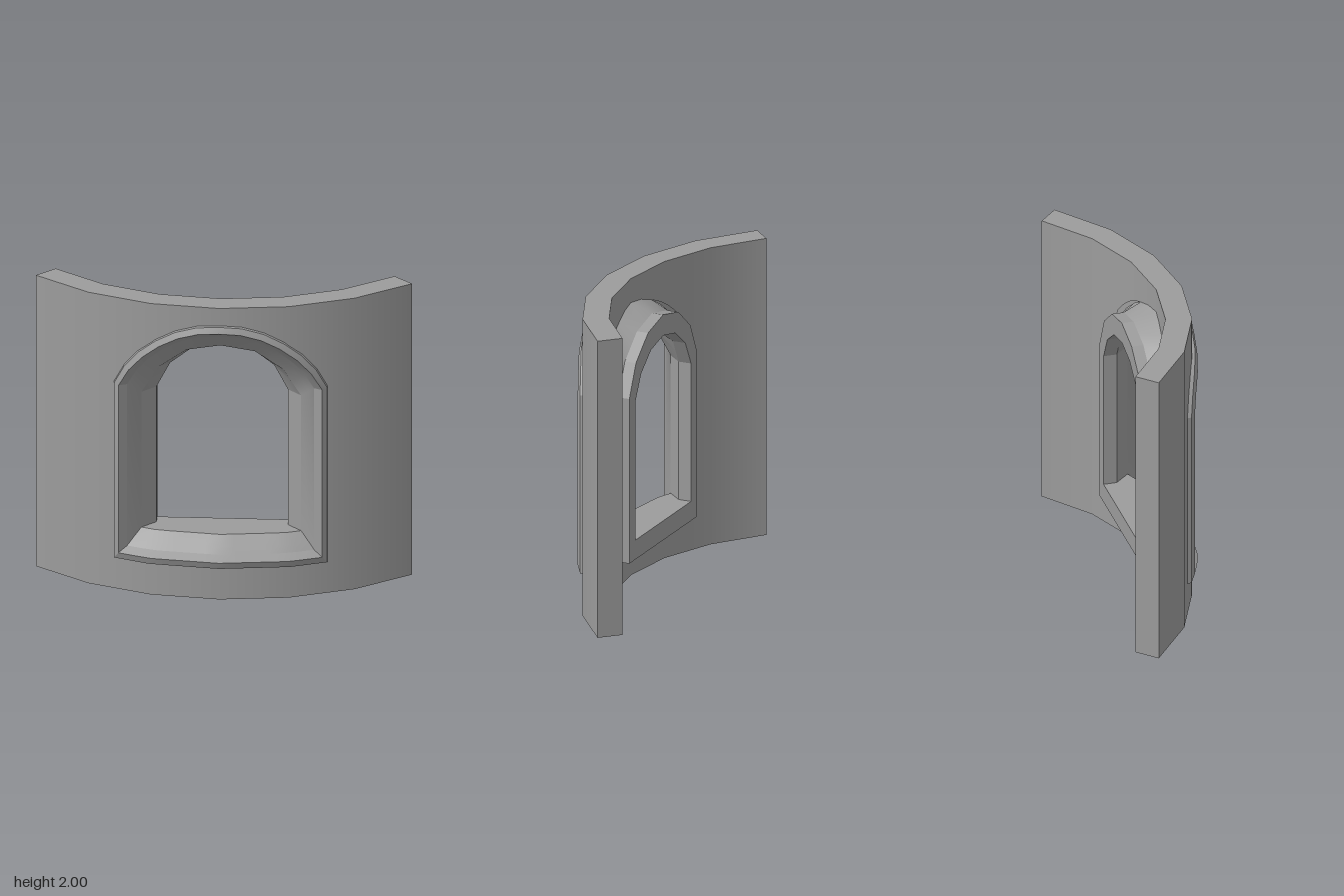
import * as THREE from 'three';
import { toCreasedNormals } from 'three/addons/utils/BufferGeometryUtils.js';

// Local frame: x along the window, z outward; the wall curves about (0, AXIS).
const AXIS = -1.202, STEP = Math.PI / 12, DEG = Math.PI / 180;
const R_OUT = 1.7, R_IN = 1.53;
const material = new THREE.MeshStandardMaterial({ color: 0x9c9c9c, side: THREE.DoubleSide });

// Point on the 15-degree faceted arc of radius r at angle a
function arcPoint(r, a) {
  const k = Math.min(2, Math.max(-3, Math.floor(a / STEP + 1e-6)));
  const t = a / STEP - k, a0 = k * STEP, a1 = a0 + STEP;
  return [
    r * THREE.MathUtils.lerp(Math.sin(a0), Math.sin(a1), t),
    AXIS + r * THREE.MathUtils.lerp(Math.cos(a0), Math.cos(a1), t),
  ];
}

// Depth of the faceted arc at a given x
function arcDepth(r, x) {
  const k = Math.floor(Math.asin(x / r) / STEP + 1e-6);
  const x0 = r * Math.sin(k * STEP), x1 = r * Math.sin((k + 1) * STEP);
  const z0 = r * Math.cos(k * STEP), z1 = r * Math.cos((k + 1) * STEP);
  return AXIS + z0 + (z1 - z0) * (x - x0) / (x1 - x0);
}

// Circular-segment arch of half width w between spring and apex heights
function arch(w, spring, apex) {
  const rise = apex - spring;
  const R = (w * w + rise * rise) / (2 * rise);
  return { R, cy: apex - R, half: Math.atan2(w, R - rise) };
}

// Closed arched outline; depth is { r } for a curved ring or { z } for a flat one.
// sides is the number of straight pieces in the arch, each split to 12 points in all.
function ring(w, bottom, spring, apex, depth, sides = 12) {
  const pts = [], { R, cy, half } = arch(w, spring, apex);
  const add = (x, y) => pts.push([x, y, depth.z ?? arcDepth(depth.r, x)]);
  const corner = k => {
    const a = half * (1 - 2 * k / sides);
    return new THREE.Vector2(R * Math.sin(a), cy + R * Math.cos(a));
  };
  for (let i = 0; i <= 12; i++) add(w * (i / 6 - 1), bottom);
  for (let i = 0; i <= 12; i++) {
    const s = i * sides / 12, k = Math.floor(s);
    const p = corner(k).lerp(corner(k + 1), s - k);
    add(p.x, p.y);
  }
  return pts;
}

// Skin between successive rings, smooth below the crease angle
function loft(name, rings, crease = 0.35) {
  const pos = [], n = rings[0].length;
  for (let k = 0; k < rings.length - 1; k++) {
    for (let i = 0; i < n; i++) {
      const j = (i + 1) % n;
      const a = rings[k][i], b = rings[k][j], c = rings[k + 1][j], d = rings[k + 1][i];
      pos.push(...a, ...b, ...c, ...a, ...c, ...d);
    }
  }
  const g = new THREE.BufferGeometry();
  g.setAttribute('position', new THREE.Float32BufferAttribute(pos, 3));
  const mesh = new THREE.Mesh(toCreasedNormals(g, crease), material);
  mesh.name = name;
  return mesh;
}

// Curved wall with an arched opening, built in vertical columns
function wall() {
  const pos = [], nor = [];
  const HOLE = 22 * DEG, sill = 0.278, HALF = 45 * DEG;
  // corners are [angle, radius, y]; normal is a function of the angle
  const quad = (corners, normal) => {
    for (const i of [0, 1, 2, 0, 2, 3]) {
      const [a, r, y] = corners[i];
      const [x, z] = arcPoint(r, a);
      pos.push(x, y, z);
      nor.push(...normal(a));
    }
  };
  const out = a => [Math.sin(a), 0, Math.cos(a)];
  const inward = a => [-Math.sin(a), 0, -Math.cos(a)];
  const o = R_OUT, i = R_IN;

  const { R, cy } = arch(HOLE, 1.41, 1.82);
  const archTop = a => cy + Math.sqrt(R * R - a * a);
  const faces = (a, b, l0, l1, h0, h1) => {
    quad([[a, o, l0], [b, o, l1], [b, o, h1], [a, o, h0]], out);
    quad([[b, i, l1], [a, i, l0], [a, i, h0], [b, i, h1]], inward);
  };

  const angles = [];
  for (let k = -3; k <= 3; k++) angles.push(k * STEP);
  for (let k = -11; k <= 11; k++) if (k) angles.push(k * 2 * DEG);
  angles.sort((p, q) => p - q);

  for (let k = 0; k < angles.length - 1; k++) {
    const a = angles[k], b = angles[k + 1];
    if (Math.abs(a + b) / 2 < HOLE) {
      faces(a, b, 0, 0, sill, sill);
      faces(a, b, archTop(a), archTop(b), 2, 2);
    } else {
      faces(a, b, 0, 0, 2, 2);
    }
    // top and bottom rims
    quad([[a, o, 2], [b, o, 2], [b, i, 2], [a, i, 2]], () => [0, 1, 0]);
    quad([[a, i, 0], [b, i, 0], [b, o, 0], [a, o, 0]], () => [0, -1, 0]);
  }
  // end caps
  quad([[HALF, o, 0], [HALF, i, 0], [HALF, i, 2], [HALF, o, 2]], a => [Math.cos(a), 0, -Math.sin(a)]);
  quad([[-HALF, i, 0], [-HALF, o, 0], [-HALF, o, 2], [-HALF, i, 2]], a => [-Math.cos(a), 0, Math.sin(a)]);

  const g = new THREE.BufferGeometry();
  g.setAttribute('position', new THREE.Float32BufferAttribute(pos, 3));
  g.setAttribute('normal', new THREE.Float32BufferAttribute(nor, 3));
  const mesh = new THREE.Mesh(g, material);
  mesh.name = 'curvedWall';
  return mesh;
}

export function createModel() {
  const group = new THREE.Group();
  group.name = 'archedWindowWall';

  const trimEdge = ring(0.681, 0.22, 1.42, 1.88, { r: 1.725 });
  const trimPeak = ring(0.651, 0.265, 1.415, 1.84, { r: 1.742 });
  const trimInner = ring(0.597, 0.3, 1.41, 1.8, { r: 1.684 });
  const revealFront = ring(0.51, 0.4, 1.33, 1.7, { r: 1.583 }, 6);
  const holeFront = ring(0.42, 0.4, 1.33, 1.65, { z: 0.188 }, 6);
  const frameFront = ring(0.51, 0.27, 1.38, 1.79, { z: 0.178 }, 6);

  const windowBay = new THREE.Group();
  windowBay.name = 'windowBay';
  windowBay.add(
    // raised moulding around the opening, one crisp strip per facet
    loft('trimOuterSide', [ring(0.684, 0.218, 1.42, 1.882, { r: 1.69 }), trimEdge]),
    loft('trimFrontBevel', [trimEdge, trimPeak]),
    loft('trimInnerBevel', [trimPeak, trimInner]),
    // surfaces sloping in from the moulding
    loft('splay', [trimInner, ring(0.562, 0.342, 1.38, 1.76, { r: 1.645 }), revealFront], 0.6),
    // tapering inner surfaces and flat sill
    loft('reveal', [revealFront, holeFront]),
    // flat frame at the back
    loft('backFrame', [
      holeFront,
      ring(0.42, 0.4, 1.33, 1.65, { z: 0.1 }, 6),
      ring(0.51, 0.27, 1.38, 1.79, { z: 0.1 }, 6),
      frameFront,
    ]),
    // flared casing joining the back frame to the wall
    loft('casing', [frameFront, ring(0.573, 0.27, 1.43, 1.84, { r: 1.535 })], 0.6),
  );

  // the window looks out along the diagonal
  const body = new THREE.Group();
  body.name = 'wallSection';
  body.add(wall(), windowBay);
  body.rotation.y = Math.PI / 4;
  group.add(body);
  return group;
}
